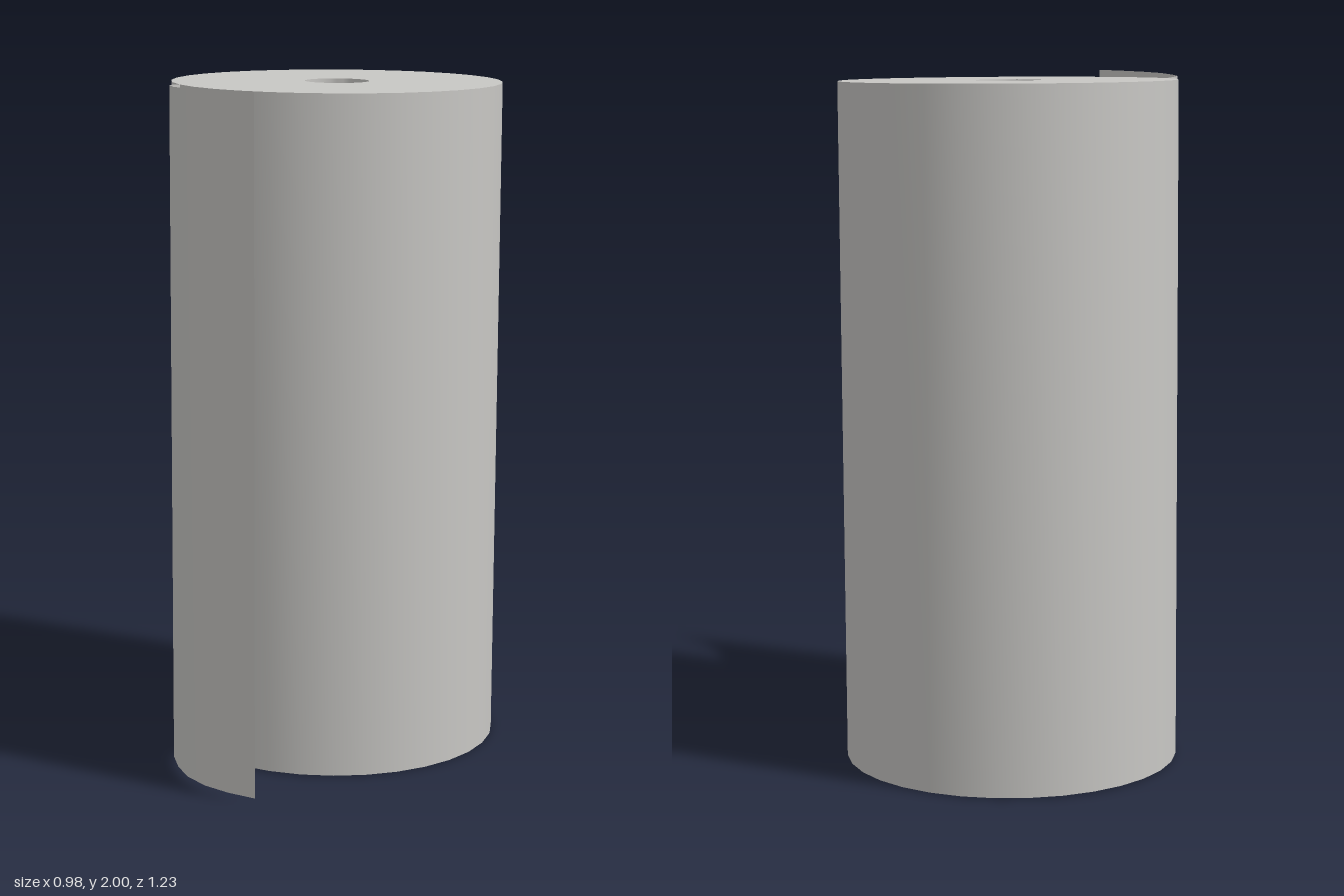
import * as THREE from 'three';
import { toCreasedNormals } from 'three/addons/utils/BufferGeometryUtils.js';

export function createModel() {
  const group = new THREE.Group();
  const paper = new THREE.MeshStandardMaterial({ color: 0xc8c7c4, side: THREE.DoubleSide });
  paper.name = 'light grey paper';

  // Hollow roll, leaning very slightly to the side
  const R = 0.488, r = 0.095, h = 0.989;
  const profile = [[R, -h], [R, h], [r, h], [r, -h], [R, -h]].map(([x, y]) => new THREE.Vector2(x, y));
  const roll = new THREE.Mesh(
    toCreasedNormals(new THREE.LatheGeometry(profile, 32, Math.PI / 32), 0.6), paper);
  roll.name = 'paperRoll';
  roll.position.set(0, 0.993, -0.133);
  roll.rotation.z = -0.005;
  group.add(roll);

  // Loose end: a curved sheet between a lower and an upper edge, [x, y, z]
  const bottom = [
    [-0.43, 0.01, 0.1], [-0.444, 0.011, 0.17], [-0.441, 0.013, 0.26], [-0.412, 0.015, 0.355],
    [-0.37, 0.017, 0.44], [-0.31, 0.019, 0.513], [-0.235, 0.021, 0.57], [-0.152, 0.023, 0.615],
  ];
  const top = [
    [-0.425, 1.985, 0.1], [-0.437, 1.987, 0.13], [-0.441, 1.989, 0.19], [-0.415, 1.991, 0.278],
    [-0.37, 1.994, 0.365], [-0.31, 1.996, 0.44], [-0.235, 1.998, 0.498], [-0.152, 2, 0.54],
  ];
  const positions = [], index = [];
  bottom.forEach((p, i) => {
    positions.push(...p, ...top[i]);
    if (i === 0) return;
    const a = (i - 1) * 2;
    index.push(a, a + 2, a + 1, a + 1, a + 2, a + 3);
  });
  const sheetGeometry = new THREE.BufferGeometry();
  sheetGeometry.setAttribute('position', new THREE.Float32BufferAttribute(positions, 3));
  sheetGeometry.setIndex(index);
  sheetGeometry.computeVertexNormals();
  const sheet = new THREE.Mesh(sheetGeometry, paper);
  sheet.name = 'looseSheet';
  group.add(sheet);

  return group;
}
